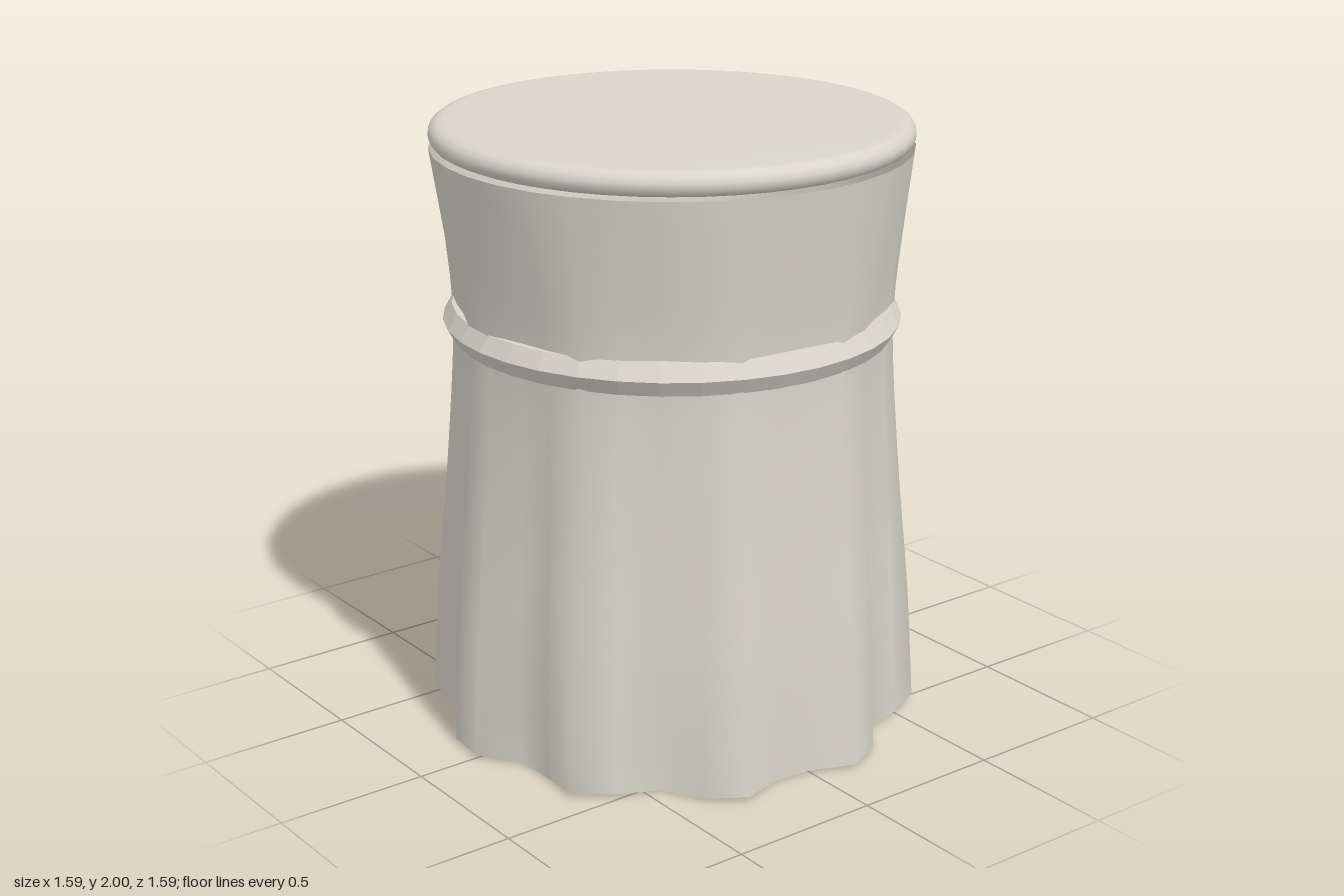
import * as THREE from 'three';
import { mergeVertices } from 'three/addons/utils/BufferGeometryUtils.js';

const fabric = new THREE.MeshStandardMaterial({ color: 0xd9d5ca, side: THREE.DoubleSide });
fabric.name = 'cream fabric';

const SIDES = 36, PLEATS = 10;
const points = (list) => list.map(([x, y]) => new THREE.Vector2(x, y));

function addMesh(parent, name, geometry, x = 0, y = 0, z = 0) {
  const mesh = new THREE.Mesh(geometry, fabric);
  mesh.name = name;
  mesh.position.set(x, y, z);
  parent.add(mesh);
  return mesh;
}

// Open tube with a narrow waist, whose pleats fade out towards the top
function skirtGeometry() {
  const profile = new THREE.SplineCurve(points([
    [0.755, 0], [0.74, 0.4], [0.712, 0.8], [0.693, 1.2],
    [0.697, 1.4], [0.72, 1.6], [0.765, 1.915],
  ]));
  let geometry = new THREE.LatheGeometry(profile.getPoints(18), SIDES);
  geometry.deleteAttribute('uv');
  geometry.deleteAttribute('normal');
  const pos = geometry.attributes.position;
  for (let i = 0; i < pos.count; i++) {
    const x = pos.getX(i), y = pos.getY(i), z = pos.getZ(i);
    const fade = 1 - y / 1.915;
    const wave = Math.cos(PLEATS * Math.atan2(x, z) + 0.873);
    const k = 1 + 0.058 * fade * wave / Math.hypot(x, z);
    pos.setXYZ(i, x * k, y + 0.007 * fade * (1 + wave), z * k);
  }
  geometry = mergeVertices(geometry, 1e-4);
  geometry.computeVertexNormals();
  return geometry;
}

export function createModel() {
  const stool = new THREE.Group();
  stool.name = 'skirtedStool';

  addMesh(stool, 'skirt', skirtGeometry());

  // Cushion with a rounded rim
  addMesh(stool, 'cushion', new THREE.LatheGeometry(points([
    [0, 1.922], [0.735, 1.922], [0.753, 1.93], [0.764, 1.947], [0.765, 1.965],
    [0.757, 1.983], [0.74, 1.995], [0.715, 2], [0, 2],
  ]), 48));

  // Sash around the waist
  const sash = new THREE.TorusGeometry(0.676, 0.06, 6, SIDES).toNonIndexed();
  sash.computeVertexNormals();
  sash.rotateX(Math.PI / 2);
  addMesh(stool, 'sash', sash, 0, 1.36, 0);

  // Bow at the back: knot, two loops, two hanging tails
  const bow = new THREE.Group();
  bow.name = 'bow';
  bow.position.set(0, 1.36, -0.75);
  stool.add(bow);
  addMesh(bow, 'knot', new THREE.SphereGeometry(0.04, 12, 8), 0, 0, -0.003);
  for (const side of [1, -1]) {
    const loop = addMesh(bow, 'bowLoop', new THREE.TorusGeometry(0.078, 0.021, 6, 12),
      side * 0.115, 0.015, 0.004);
    loop.scale.set(1.12, 0.92, 1);
    loop.rotation.z = side * 0.3;
    const tail = addMesh(bow, 'bowTail', new THREE.BoxGeometry(0.115, 0.52, 0.004),
      side * 0.075, -0.27, -0.002);
    tail.rotation.y = side * 0.12;
  }
  return stool;
}
